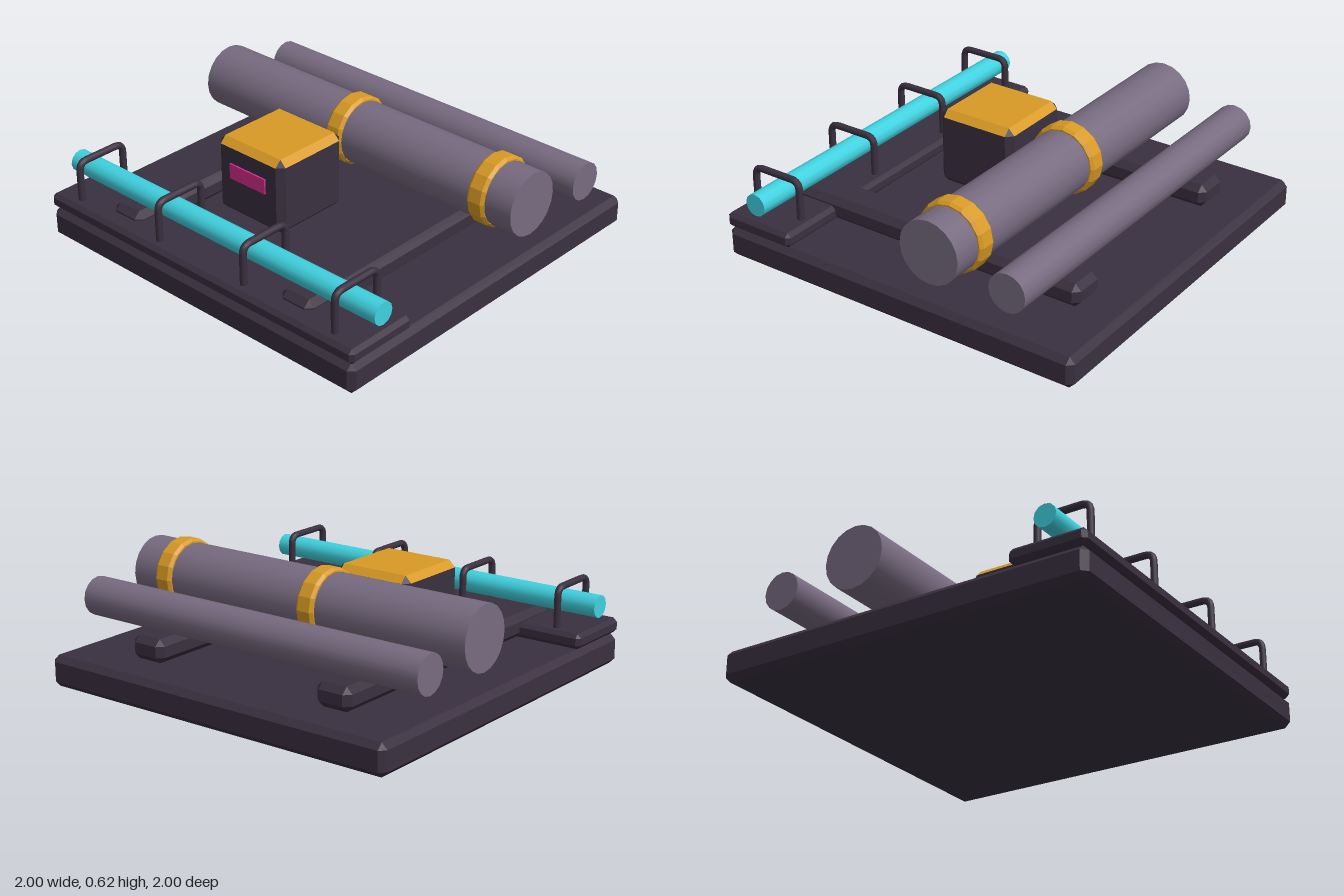
import * as THREE from 'three';
import { ConvexGeometry } from 'three/addons/geometries/ConvexGeometry.js';

const material = (name, color) => {
  const m = new THREE.MeshStandardMaterial({ color });
  m.name = name;
  return m;
};

// Box given by its limits, with every edge chamfered by c
function chamferBox([x0, x1], [y0, y1], [z0, z1], c) {
  const half = [(x1 - x0) / 2, (y1 - y0) / 2, (z1 - z0) / 2];
  const points = [];
  for (const sx of [-1, 1]) for (const sy of [-1, 1]) for (const sz of [-1, 1]) {
    for (let axis = 0; axis < 3; axis++) {
      const [x, y, z] = half.map((h, i) => (i === axis ? h : h - c));
      points.push(new THREE.Vector3(sx * x, sy * y, sz * z));
    }
  }
  const geometry = new ConvexGeometry(points);
  return geometry.translate((x0 + x1) / 2, (y0 + y1) / 2, (z0 + z1) / 2);
}

// Give upward faces and upper bevels material 1, all the rest material 0
function groupTopFaces(geometry) {
  const normal = geometry.attributes.normal;
  for (let i = 0; i < normal.count; i += 3) {
    geometry.addGroup(i, 3, normal.getY(i) > 0.65 ? 1 : 0);
  }
  return geometry;
}

export function createModel() {
  const model = new THREE.Group();
  model.name = 'pipePanel';

  const dark = material('darkPlum', 0x3a3040);
  const grey = material('mauveGrey', 0x776b80);
  const gold = material('gold', 0xd89a25);
  const cyan = material('cyan', 0x40d2e0);
  const pink = material('pink', 0xd82c8c);

  const add = (name, geometry, mat) => {
    const mesh = new THREE.Mesh(geometry, mat);
    mesh.name = name;
    model.add(mesh);
    return mesh;
  };

  // Base slab, two rails and the front ledge
  add('baseSlab', chamferBox([-1, 1], [0, 0.16], [-1, 1], 0.03), dark);
  for (const x of [-0.563, 0.557]) {
    add('rail', chamferBox([x - 0.098, x + 0.098], [0.16, 0.28], [-0.8, 0.9], 0.032), dark);
  }
  add('frontLedge', chamferBox([-1, 1], [0.163, 0.24], [0.605, 1], 0.02), dark);

  // Pipes running across the slab
  const pipe = (name, radius, y, z, sides, mat) => {
    const geometry = new THREE.CylinderGeometry(radius, radius, 2, sides).rotateZ(Math.PI / 2);
    add(name, geometry, mat).position.set(0, y, z);
  };
  pipe('largePipe', 0.162, 0.44, -0.236, 20, grey);
  pipe('smallPipe', 0.098, 0.383, -0.66, 16, grey);
  pipe('glowingPipe', 0.058, 0.343, 0.8, 12, cyan);

  // Chamfered collars on the large pipe, flat sections around the rim
  const collarProfile = [
    [0.15, -0.05], [0.168, -0.05], [0.181, -0.035],
    [0.181, 0.035], [0.168, 0.05], [0.15, 0.05],
  ].map(([r, h]) => new THREE.Vector2(r, h));
  for (const x of [-0.102, 0.798]) {
    const flat = new THREE.LatheGeometry(collarProfile, 16).toNonIndexed();
    flat.computeVertexNormals();
    add('collar', flat.rotateZ(Math.PI / 2), gold).position.set(x, 0.442, -0.238);
  }

  // Control box with a gold lid and a pink display
  const box = chamferBox([-0.4, 0.037], [0.16, 0.562], [0.003, 0.442], 0.034);
  add('controlBox', groupTopFaces(box), [dark, gold]);
  add('display', new THREE.BoxGeometry(0.235, 0.08, 0.009), pink).position.set(-0.182, 0.405, 0.447);

  // Hoops holding the front pipe
  const [back, front, foot, top, bend] = [0.662, 0.934, 0.2, 0.442, 0.045];
  const at = (y, z) => new THREE.Vector3(0, y, z);
  const hoopPath = new THREE.CurvePath();
  hoopPath.add(new THREE.LineCurve3(at(foot, back), at(top - bend, back)));
  hoopPath.add(new THREE.QuadraticBezierCurve3(at(top - bend, back), at(top, back), at(top, back + bend)));
  hoopPath.add(new THREE.LineCurve3(at(top, back + bend), at(top, front - bend)));
  hoopPath.add(new THREE.QuadraticBezierCurve3(at(top, front - bend), at(top, front), at(top - bend, front)));
  hoopPath.add(new THREE.LineCurve3(at(top - bend, front), at(foot, front)));
  const hoop = new THREE.TubeGeometry(hoopPath, 48, 0.018, 8);
  for (const x of [-0.84, -0.28, 0.28, 0.84]) {
    add('hoop', hoop, dark).position.x = x;
  }

  return model;
}
